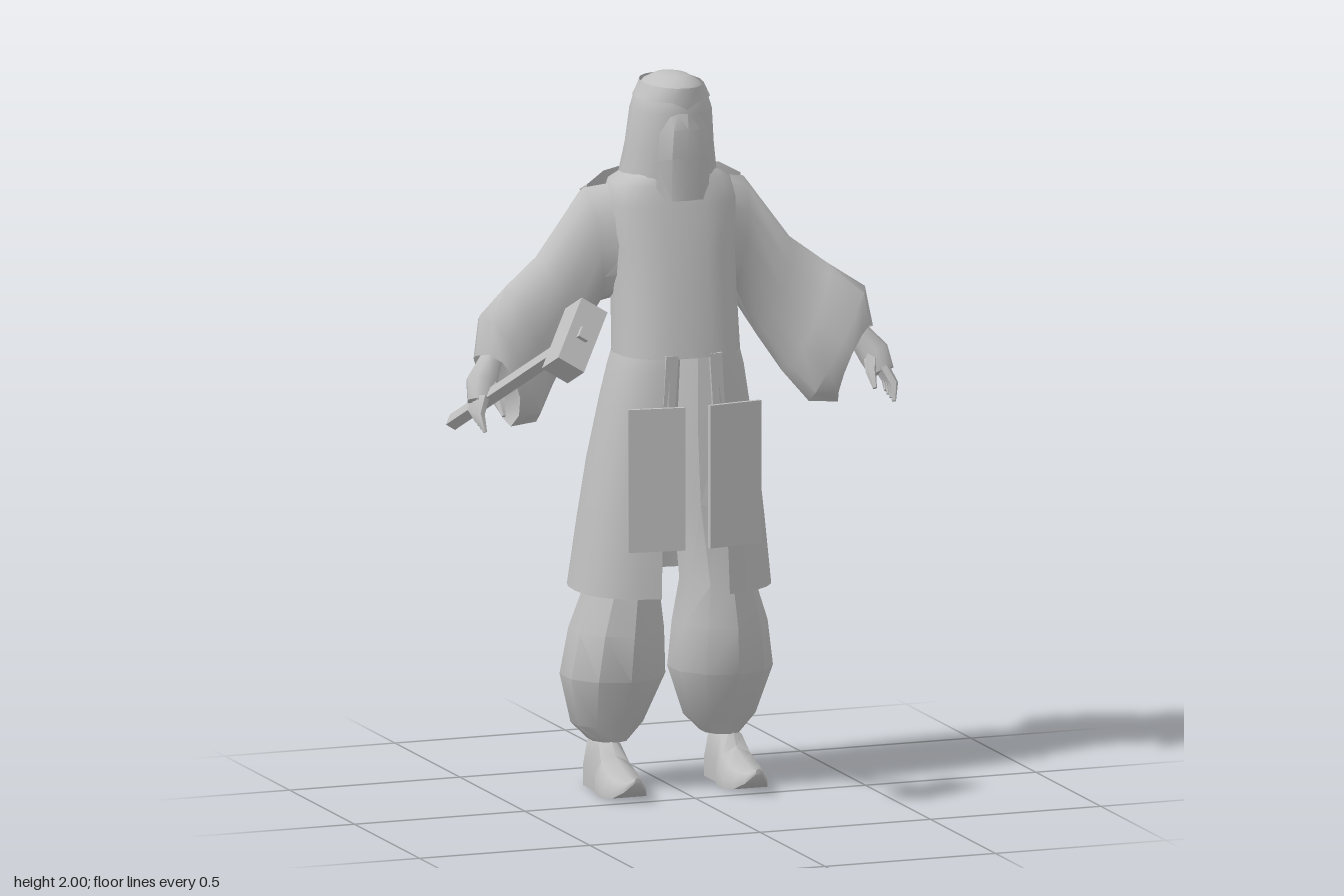
import * as THREE from 'three';
import { toCreasedNormals } from 'three/addons/utils/BufferGeometryUtils.js';

const V = (x, y, z) => new THREE.Vector3(x, y, z);
const grey = new THREE.MeshStandardMaterial({ color: 0xc0c0c0, side: THREE.DoubleSide });
grey.name = 'plainGrey';

// Skin a list of equal-length point rings
function loft(rings, { closed = true, caps = true, crease = 0.9 } = {}) {
  const n = rings[0].length, pos = [], idx = [];
  rings.forEach(r => r.forEach(p => pos.push(p.x, p.y, p.z)));
  for (let i = 0; i < rings.length - 1; i++) {
    for (let j = 0; j < (closed ? n : n - 1); j++) {
      const a = i * n + j, b = i * n + (j + 1) % n;
      idx.push(a, b, b + n, a, b + n, a + n);
    }
  }
  if (closed && caps) {
    [0, rings.length - 1].forEach((ri, k) => {
      const c = V(0, 0, 0);
      rings[ri].forEach(p => c.addScaledVector(p, 1 / n));
      const ci = pos.length / 3;
      pos.push(c.x, c.y, c.z);
      for (let j = 0; j < n; j++) {
        const a = ri * n + j, b = ri * n + (j + 1) % n;
        if (k) idx.push(a, b, ci); else idx.push(b, a, ci);
      }
    });
  }
  const g = new THREE.BufferGeometry();
  g.setAttribute('position', new THREE.Float32BufferAttribute(pos, 3));
  g.setIndex(idx);
  return toCreasedNormals(g, crease);
}

// Horizontal rounded ring; gap leaves an opening at the front
function ring([y, hw, zf, zb, cx = 0], n = 20, power = 2, gap = 0) {
  const a0 = gap ? Math.asin(Math.pow(gap / hw, power / 2)) : 0;
  const e = 2 / power, pts = [];
  for (let j = 0; j < n; j++) {
    const a = gap ? a0 + (2 * Math.PI - 2 * a0) * j / (n - 1) : 2 * Math.PI * j / n;
    const s = Math.sin(a), c = Math.cos(a);
    pts.push(V(cx + hw * Math.sign(s) * Math.abs(s) ** e, y,
      (zf + zb) / 2 + (zf - zb) / 2 * Math.sign(c) * Math.abs(c) ** e));
  }
  return pts;
}

// Tapered limb along points, with a radius for each
function limb(points, radii, n = 6) {
  return loft(points.map((p, i) => {
    const d = points[Math.min(i + 1, points.length - 1)].clone().sub(points[Math.max(i - 1, 0)]).normalize();
    const u = V(0, 0, 1).cross(d).normalize(), w = d.clone().cross(u);
    return Array.from({ length: n }, (_, j) => {
      const a = 2 * Math.PI * j / n;
      return p.clone().addScaledVector(u, Math.cos(a) * radii[i]).addScaledVector(w, Math.sin(a) * radii[i]);
    });
  }), { crease: 1.1 });
}

function add(parent, name, geometry) {
  const m = new THREE.Mesh(geometry, grey);
  m.name = name;
  parent.add(m);
  return m;
}

// Everything that exists on both sides, built for the left
function buildSide(side) {
  const g = new THREE.Group();
  g.name = side + 'Side';

  // Wide sleeve: top and bottom point, centre z, half depth, pull-back of the front rim
  const sleeve = [
    [0.12, 1.70, 0.14, 1.38, -0.21, 0.09, 0],
    [0.235, 1.68, 0.19, 1.36, -0.245, 0.085, 0],
    [0.37, 1.50, 0.275, 1.23, -0.245, 0.078, 0],
    [0.47, 1.425, 0.34, 1.13, -0.225, 0.088, 0],
    [0.565, 1.36, 0.40, 1.05, -0.175, 0.085, 0.02],
    [0.583, 1.25, 0.48, 1.045, -0.16, 0.07, 0.05],
  ].map(([ux, uy, lx, ly, zc, hz, pull]) => Array.from({ length: 12 }, (_, j) => {
    const a = 2 * Math.PI * j / 12, t = (1 - Math.cos(a)) / 2, s = Math.sin(a);
    const p = pull * Math.max(0, s);
    return V(ux + (lx - ux) * t - p * 0.7, uy + (ly - uy) * t + p * 0.9, zc + hz * s);
  }));
  add(g, 'sleeve', loft(sleeve, { caps: false }));

  // Hand with four fingers and a thumb
  const hand = new THREE.Group();
  hand.name = 'hand';
  g.add(hand);
  add(hand, 'palm', limb([V(0.47, 1.34, -0.19), V(0.535, 1.24, -0.165), V(0.575, 1.18, -0.135), V(0.59, 1.13, -0.11)],
    [0.03, 0.032, 0.045, 0.036], 8));
  for (let i = 0; i < 4; i++) {
    const z = -0.085 - i * 0.02;
    add(hand, 'finger', limb([V(0.587, 1.15, z), V(0.607, 1.105, z + 0.022), V(0.6, 1.06 + 0.006 * i, z + 0.042)],
      [0.015, 0.013, 0.006], 5));
  }
  add(hand, 'thumb', limb([V(0.56, 1.18, -0.12), V(0.545, 1.14, -0.075), V(0.545, 1.1, -0.045)], [0.02, 0.015, 0.006], 5));

  // Ballooning trouser leg
  add(g, 'trouserLeg', loft([
    [0.135, 0.055, -0.17, -0.305, 0.165], [0.18, 0.10, -0.15, -0.345, 0.165],
    [0.32, 0.145, -0.075, -0.37, 0.158], [0.45, 0.13, -0.065, -0.355, 0.152],
    [0.57, 0.10, -0.07, -0.33, 0.14], [0.8, 0.09, -0.07, -0.31, 0.105],
    [1.0, 0.088, -0.05, -0.28, 0.088], [1.25, 0.085, -0.035, -0.26, 0.08],
  ].map(r => ring(r, 10)), { crease: 0.65 }));

  // Shoe with upturned toe: z, bottom, top, half width
  add(g, 'shoe', loft([
    [-0.305, 0, 0.11, 0.03], [-0.28, 0, 0.16, 0.045], [-0.19, 0, 0.16, 0.045],
    [-0.15, 0, 0.105, 0.058], [-0.09, 0, 0.078, 0.062], [-0.04, 0.008, 0.064, 0.05],
    [0, 0.03, 0.064, 0.032], [0.025, 0.058, 0.074, 0.01],
  ].map(([z, lo, hi, hw]) => [[1, 0], [1, 0.35], [0.7, 0.8], [0, 1], [-0.7, 0.8], [-1, 0.35], [-1, 0]]
    .map(([x, t]) => V(0.178 + x * hw, lo + (hi - lo) * t, z)))));

  // Hanging front panel and its strap
  const panel = add(g, 'frontPanel', new THREE.BoxGeometry(0.16, 0.4, 0.012));
  panel.position.set(0.115, 0.9, 0.004);
  panel.rotation.y = 0.14;
  const strap = add(g, 'panelStrap', new THREE.BoxGeometry(0.035, 0.2, 0.01));
  strap.position.set(0.07, 1.14, -0.012);
  strap.rotation.z = 0.06;
  return g;
}

export function createModel() {
  const model = new THREE.Group();
  model.name = 'robedFigure';

  const left = buildSide('left'), right = buildSide('right');
  right.scale.x = -1;
  model.add(left, right);

  // Coat body
  add(model, 'coatBody', loft([
    [1.23, 0.175, -0.005, -0.295], [1.4, 0.172, -0.03, -0.305], [1.52, 0.175, -0.05, -0.325],
    [1.64, 0.185, -0.075, -0.33], [1.7, 0.17, -0.09, -0.32], [1.73, 0.12, -0.1, -0.3],
  ].map(r => ring(r, 24, 2.5)), { caps: false }));

  // Coat skirt, open down the front
  const skirt = [
    [0.565, 0.28, 0.012, -0.412, 0.1], [0.75, 0.258, 0.008, -0.385, 0.095], [0.92, 0.235, 0.005, -0.36, 0.085],
    [1.1, 0.203, 0, -0.325, 0.075], [1.19, 0.186, -0.002, -0.302, 0.07], [1.23, 0.175, -0.005, -0.295, 0.068],
  ];
  add(model, 'coatSkirt', loft(skirt.map(([y, hw, zf, zb, gap]) => ring([y, hw, zf, zb], 28, 2.5, gap)), { closed: false }));

  // Scarf wrapped around head and neck
  add(model, 'headScarf', loft([
    [1.62, 0.145, -0.09, -0.33], [1.72, 0.135, -0.08, -0.345], [1.8, 0.122, -0.075, -0.325],
    [1.9, 0.112, -0.068, -0.31], [1.95, 0.095, -0.075, -0.306], [1.975, 0.075, -0.09, -0.285],
    [1.993, 0.045, -0.13, -0.245], [2.0, 0.012, -0.175, -0.2],
  ].map(r => ring(r, 16))));

  // Headband, dipping to a point at the brow
  add(model, 'headBand', loft([[1.935, 0.104, -0.06, -0.311], [1.975, 0.083, -0.06, -0.308]].map((r, k) => {
    const pts = ring(r, 16);
    if (!k) pts[0].y -= 0.02;
    return pts;
  }), { caps: false }));

  // Face veil, folded along its middle
  add(model, 'faceVeil', loft([
    [1.66, 0.075, -0.062, -0.1], [1.78, 0.08, -0.052, -0.09], [1.86, 0.072, -0.05, -0.085], [1.905, 0.045, -0.056, -0.075],
  ].map(([y, w, z, ze]) => [V(w, y - 0.01, ze), V(w * 0.55, y, z - 0.008), V(0, y, z), V(-w * 0.55, y, z - 0.008), V(-w, y - 0.01, ze)]),
  { closed: false, crease: 0.5 }));

  // Hood folded on the back: x, top, ridge and bottom as y and z
  const half = [
    [0, 1.71, -0.32, 1.605, -0.433, 1.49, -0.31], [0.1, 1.72, -0.31, 1.625, -0.415, 1.51, -0.31],
    [0.17, 1.72, -0.26, 1.67, -0.355, 1.57, -0.29], [0.225, 1.69, -0.24, 1.665, -0.3, 1.62, -0.26],
  ];
  const stations = [...half.slice(1).reverse().map(([x, ...r]) => [-x, ...r]), ...half];
  add(model, 'hood', loft(stations.map(([x, ty, tz, ry, rz, by, bz]) =>
    [V(x, ty, tz), V(x, ry, rz), V(x, by, bz)]), { crease: 0.8 }));

  // Hammer in the right hand
  const hammer = new THREE.Group();
  hammer.name = 'hammer';
  const start = V(-0.6, 1.04, -0.295), end = V(-0.478, 1.415, 0.41);
  const along = end.clone().sub(start), length = along.length();
  along.normalize();
  const headAxis = V(0.12, 0.17, -0.08);
  headAxis.addScaledVector(along, -headAxis.dot(along)).normalize();
  hammer.quaternion.setFromRotationMatrix(
    new THREE.Matrix4().makeBasis(headAxis, along, headAxis.clone().cross(along)));
  hammer.position.copy(start);
  add(hammer, 'hammerHandle', new THREE.BoxGeometry(0.034, length, 0.03)).position.y = length / 2;
  add(hammer, 'hammerHead', new THREE.BoxGeometry(0.2, 0.1, 0.085)).position.y = length - 0.066;
  model.add(hammer);

  return model;
}
